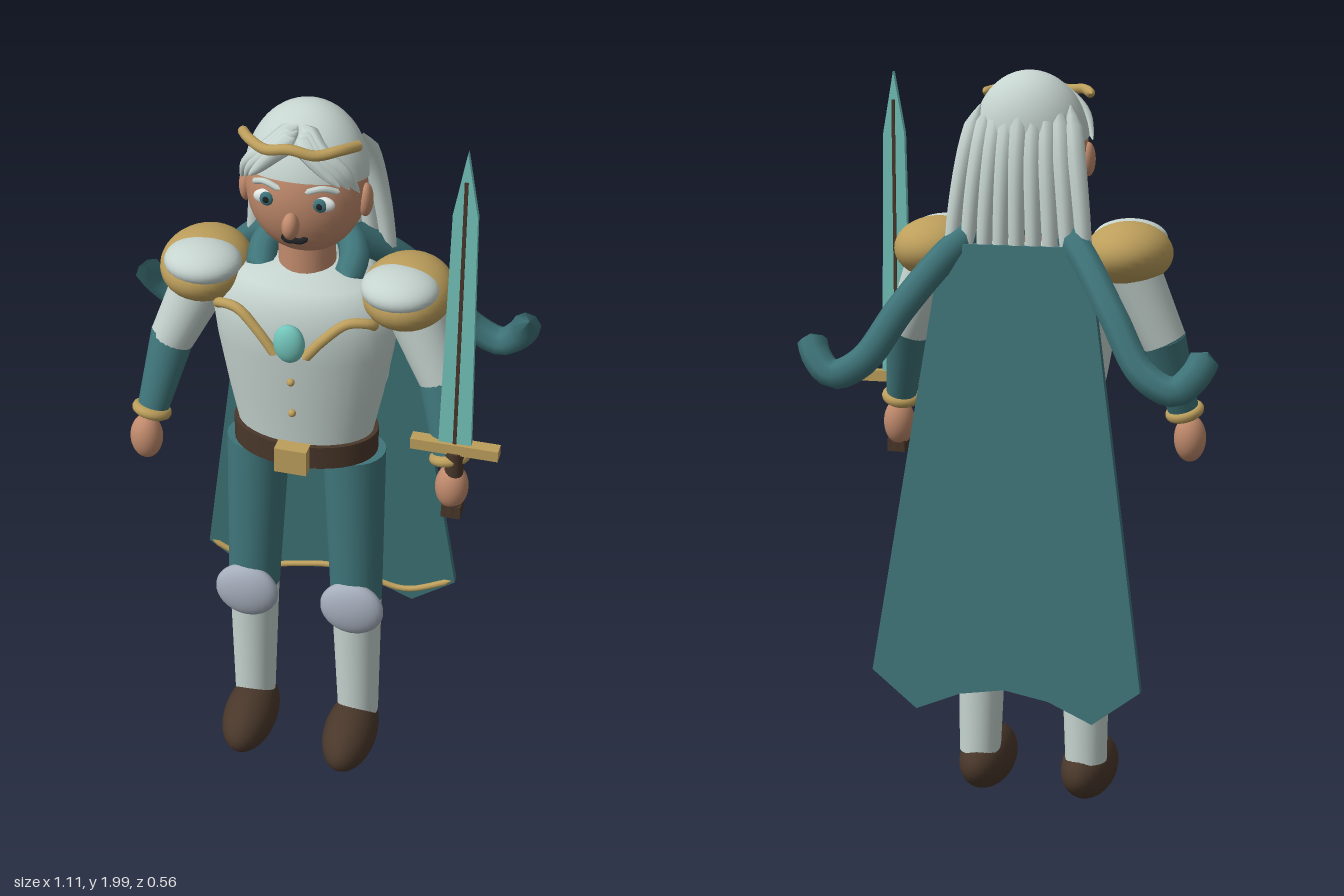
import * as THREE from 'three';

const mat = (name, color) => Object.assign(new THREE.MeshStandardMaterial({ color }), { name });
const V = (x, y, z) => new THREE.Vector3(x, y, z);

export function createModel() {
  const silver = mat('silver', 0xc6d4cf), gold = mat('gold', 0xbd9f5c), teal = mat('teal', 0x3f757a);
  const crystal = mat('crystal', 0x72c4ba), skin = mat('skin', 0xc08a6c), leather = mat('leather', 0x49372a);
  const steel = mat('steel', 0xa6aebc), eyeWhite = mat('eyeWhite', 0xe4e9e8), dark = mat('dark', 0x1f2124);
  const model = new THREE.Group();
  model.name = 'caped knight';

  const add = (name, geo, material, parent = model) => {
    const m = new THREE.Mesh(geo, material);
    m.name = name;
    parent.add(m);
    return m;
  };
  const ball = (name, material, c, r, parent) => {
    const m = add(name, new THREE.SphereGeometry(1, 28, 20), material, parent);
    m.position.set(...c);
    m.scale.set(...r);
    return m;
  };
  const box = (name, material, c, s, parent) => {
    const m = add(name, new THREE.BoxGeometry(...s), material, parent);
    m.position.set(...c);
    return m;
  };
  // Tapered cylinder from a (radius ra) to b (radius rb)
  const limb = (name, material, a, b, ra, rb) => {
    const A = V(...a), B = V(...b);
    const m = add(name, new THREE.CylinderGeometry(rb, ra, A.distanceTo(B), 24), material);
    m.position.copy(A).add(B).multiplyScalar(0.5);
    m.quaternion.setFromUnitVectors(V(0, 1, 0), B.sub(A).normalize());
    return m;
  };
  // Tube along points whose radius follows a rule of t
  const strand = (name, material, pts, radius, segs = 24, sides = 10, parent) => {
    const curve = new THREE.CatmullRomCurve3(pts.map(p => V(...p)));
    const geo = new THREE.TubeGeometry(curve, segs, 1, sides);
    const pos = geo.attributes.position, v = V(0, 0, 0);
    for (let i = 0; i < pos.count; i++) {
      const t = Math.floor(i / (sides + 1)) / segs, c = curve.getPointAt(t);
      v.fromBufferAttribute(pos, i).sub(c).multiplyScalar(radius(t)).add(c);
      pos.setXYZ(i, v.x, v.y, v.z);
    }
    return add(name, geo, material, parent);
  };
  const closed = r => t => (t < 0.001 || t > 0.999 ? 0.0005 : r);

  // Torso, as a flattened lathe
  const profile = [[0.001, 1.0], [0.13, 1.0], [0.172, 1.03], [0.18, 1.1], [0.205, 1.22], [0.23, 1.36],
    [0.238, 1.43], [0.225, 1.5], [0.18, 1.55], [0.08, 1.575], [0.001, 1.58]];
  const torso = add('torso', new THREE.LatheGeometry(profile.map(p => new THREE.Vector2(...p)), 36), silver);
  torso.scale.z = 0.62;
  torso.position.z = 0.065;
  const belt = add('belt', new THREE.CylinderGeometry(0.192, 0.192, 0.065, 36), leather);
  belt.scale.z = 0.66;
  belt.position.set(0, 1.066, 0.063);
  box('buckle', gold, [0, 1.066, 0.195], [0.085, 0.072, 0.045]);
  for (const y of [1.305, 1.205]) ball('button', gold, [0, y, y > 1.25 ? 0.206 : 0.196], [0.01, 0.01, 0.01]);
  for (const s of [-1, 1]) {
    strand('chestTrim', gold, [[s * 0.205, 1.47, 0.15], [s * 0.19, 1.487, 0.17], [s * 0.14, 1.49, 0.19],
      [s * 0.085, 1.445, 0.205], [s * 0.035, 1.385, 0.215]], closed(0.013));
  }
  ball('chestGem', crystal, [0, 1.427, 0.218], [0.04, 0.053, 0.026]);

  // Head and face
  limb('neck', skin, [0, 1.53, 0.05], [0, 1.68, 0.05], 0.072, 0.07);
  ball('head', skin, [0, 1.79, 0.055], [0.15, 0.176, 0.13]);
  ball('nose', skin, [0, 1.747, 0.198], [0.021, 0.034, 0.027]);
  strand('mouth', dark, [[-0.033, 1.7, 0.162], [-0.015, 1.692, 0.17], [0, 1.694, 0.172],
    [0.015, 1.692, 0.17], [0.033, 1.7, 0.162]], closed(0.008), 12, 8);
  for (const s of [-1, 1]) {
    ball('ear', skin, [s * 0.15, 1.77, 0.063], [0.018, 0.044, 0.026]);
    ball('eye', eyeWhite, [s * 0.068, 1.8, 0.165], [0.033, 0.02, 0.014]);
    ball('iris', teal, [s * 0.066, 1.8, 0.175], [0.017, 0.018, 0.008]);
    ball('pupil', dark, [s * 0.066, 1.8, 0.181], [0.008, 0.009, 0.004]);
    strand('eyebrow', silver, [[s * 0.03, 1.832, 0.18], [s * 0.07, 1.843, 0.17], [s * 0.108, 1.828, 0.148]],
      closed(0.008), 10, 8);
  }

  // Hair cap, fringe and long back strands
  const hair = new THREE.Group();
  hair.name = 'hair';
  model.add(hair);
  const capGeo = new THREE.SphereGeometry(1, 32, 16, 0, Math.PI * 2, 0, Math.PI * 0.49);
  const cap = add('hairCap', capGeo.scale(0.152, 0.18, 0.132), silver, hair);
  cap.material = silver;
  cap.position.set(0, 1.82, 0.052);
  cap.rotation.x = -0.22;
  for (const s of [-1, 1]) {
    for (let i = 0; i < 3; i++) {
      strand('fringeLock', silver, [[s * 0.005, 1.965 - i * 0.006, 0.1 + i * 0.02],
        [s * (0.06 - i * 0.01), 1.93, 0.155 + i * 0.008],
        [s * (0.115 - i * 0.015), 1.885 - i * 0.002, 0.15 + i * 0.012],
        [s * (0.148 - i * 0.018), 1.815 + i * 0.018, 0.115 + i * 0.025]],
      t => 0.0005 + 0.03 * Math.pow(1 - t, 0.6) * Math.min(1, t * 6 + 0.2), 16, 8, hair);
    }
  }
  for (let i = -4; i <= 4; i++) {
    const k = Math.abs(i) / 4, tip = 1.17 + (i % 2 ? 0.05 : 0);
    strand('backStrand', silver, [[i * 0.03, 1.93 - k * 0.02, -0.035 + k * 0.03],
      [i * 0.036, 1.8, -0.078 + k * 0.028], [i * 0.043, 1.6, -0.09 + k * 0.012],
      [i * 0.046, 1.4, -0.075], [i * 0.046, tip, -0.035]],
    t => 0.0005 + 0.027 * Math.pow(1 - t, 0.4) * Math.min(1, t * 12 + 0.1), 24, 8, hair);
  }
  strand('circlet', gold, [[-0.147, 1.935, 0.1], [-0.11, 1.945, 0.16], [-0.06, 1.942, 0.195], [0, 1.955, 0.205],
    [0.06, 1.942, 0.195], [0.11, 1.945, 0.16], [0.147, 1.935, 0.1]], closed(0.013), 36);

  // Arms, shoulder guards and legs
  for (const s of [-1, 1]) {
    limb('upperArm', silver, [s * 0.265, 1.5, 0.05], [s * 0.355, 1.3, 0.075], 0.075, 0.058);
    ball('elbow', teal, [s * 0.355, 1.305, 0.075], [0.056, 0.056, 0.056]);
    limb('forearm', teal, [s * 0.353, 1.31, 0.073], [s * 0.398, 1.1, 0.138], 0.058, 0.04);
    const cuff = add('cuff', new THREE.TorusGeometry(0.038, 0.015, 10, 24), gold);
    cuff.position.set(s * 0.398, 1.105, 0.138);
    cuff.rotation.set(Math.PI / 2 - 0.3, s * 0.2, 0);
    ball('hand', skin, [s * 0.41, 1.03, 0.155], [0.043, 0.064, 0.042]);
    ball('shoulderGuard', gold, [s * 0.26, 1.53, 0.06], [0.115, 0.083, 0.138]);
    ball('shoulderPlate', silver, [s * 0.252, 1.565, 0.112], [0.098, 0.05, 0.09]);

    limb('thigh', teal, [s * 0.145, 0.55, 0.078], [s * 0.13, 1.03, 0.063], 0.07, 0.083);
    limb('shin', silver, [s * 0.152, 0.13, 0.067], [s * 0.145, 0.56, 0.077], 0.057, 0.069);
    ball('kneeGuard', steel, [s * 0.148, 0.553, 0.14], [0.088, 0.083, 0.037]);
    ball('boot', leather, [s * 0.147, 0.092, 0.13], [0.074, 0.085, 0.145]);
  }

  // Cape: flat outline with a scalloped hem, leaning back toward the bottom
  const capeZ = y => -0.112 - (1.55 - y) * 0.088;
  const outline = [[-0.195, 1.56], [-0.365, 0.43], [-0.24, 0.335], [-0.12, 0.385], [0, 0.405],
    [0.12, 0.385], [0.24, 0.335], [0.365, 0.43], [0.195, 1.56]];
  const capeGeo = new THREE.ExtrudeGeometry(new THREE.Shape(outline.map(p => new THREE.Vector2(...p))),
    { depth: 0.022, bevelEnabled: false });
  const cp = capeGeo.attributes.position;
  for (let i = 0; i < cp.count; i++) cp.setZ(i, cp.getZ(i) + capeZ(cp.getY(i)));
  capeGeo.computeVertexNormals();
  add('cape', capeGeo, teal);
  strand('capeHem', gold, [-0.355, -0.22, -0.1, 0, 0.1, 0.22, 0.355].map((x, i) => {
    const y = [0.435, 0.375, 0.4, 0.418, 0.4, 0.375, 0.435][i];
    return [x, y, capeZ(y) + 0.024];
  }), closed(0.009), 40, 8);

  // Scarf: collar behind the neck and two streaming tails
  strand('scarfCollar', teal, [[-0.11, 1.55, 0.09], [-0.115, 1.59, 0.03], [-0.08, 1.615, -0.03], [0, 1.62, -0.05],
    [0.08, 1.615, -0.03], [0.115, 1.59, 0.03], [0.11, 1.55, 0.09]], closed(0.038), 28);
  for (const s of [-1, 1]) {
    strand('scarfTail', teal, [[s * 0.09, 1.62, -0.02], [s * 0.18, 1.535, -0.1], [s * 0.28, 1.4, -0.185],
      [s * 0.37, 1.265, -0.235], [s * 0.45, 1.228, -0.24], [s * 0.5, 1.27, -0.225], [s * 0.525, 1.325, -0.2]],
    closed(0.039), 36, 8);
  }

  // Sword in the left hand
  const sword = new THREE.Group();
  sword.name = 'sword';
  sword.position.set(0.415, 0, 0.16);
  model.add(sword);
  const bladeShape = new THREE.Shape([[-0.042, 1.16], [0.042, 1.16], [0.03, 1.82], [0, 1.985], [-0.03, 1.82]]
    .map(p => new THREE.Vector2(...p)));
  const blade = new THREE.ExtrudeGeometry(bladeShape, { depth: 0.016, bevelEnabled: false });
  add('blade', blade.translate(0, 0, -0.008), crystal, sword);
  for (const z of [-0.009, 0.009]) box('bladeRidge', leather, [0, 1.54, z], [0.009, 0.74, 0.004], sword);
  box('crossguard', gold, [0, 1.156, 0], [0.225, 0.03, 0.034], sword);
  const grip = add('grip', new THREE.CylinderGeometry(0.024, 0.024, 0.19, 16), leather, sword);
  grip.position.y = 1.05;
  box('pommel', leather, [0, 0.965, 0], [0.05, 0.036, 0.045], sword);

  return model;
}
